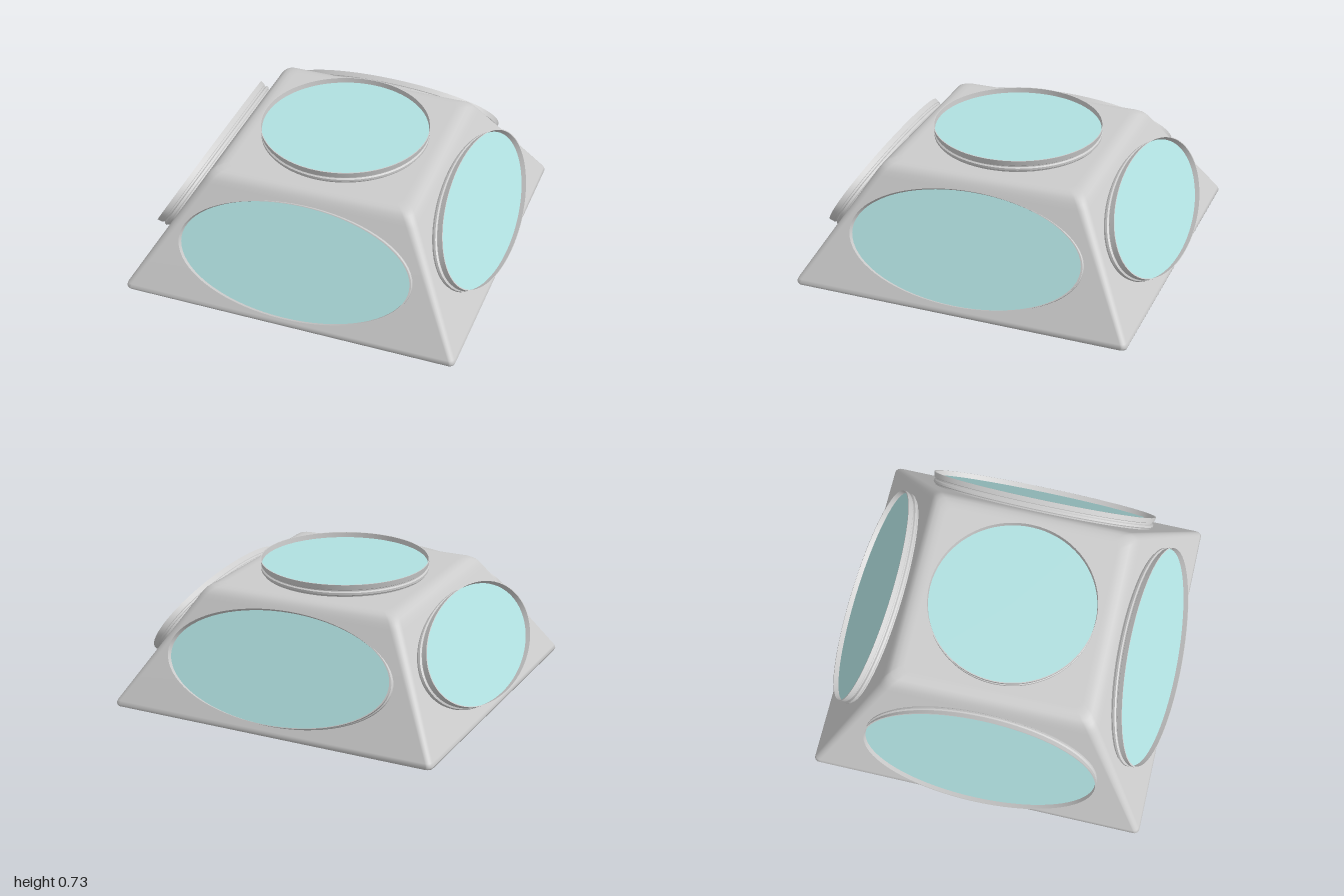
import * as THREE from 'three';
import { toCreasedNormals } from 'three/addons/utils/BufferGeometryUtils.js';

const grey = new THREE.MeshStandardMaterial({ color: 0xcccccc });
const rimGrey = new THREE.MeshStandardMaterial({ color: 0xcccccc, side: THREE.DoubleSide });
const glassBlue = new THREE.MeshStandardMaterial({ color: 0xb0e0e0, side: THREE.DoubleSide });

// Truncated pyramid lofted through rounded squares: [half width, height, corner radius]
function bodyGeometry() {
  const rings = [
    [0, 0, 0], [0.9, 0, 0.03], [0.93, 0.002, 0.03], [0.949, 0.01, 0.03], [0.954, 0.024, 0.03],
    [0.947, 0.043, 0.03], [0.615, 0.592, 0.05], [0.6, 0.615, 0.05], [0.583, 0.637, 0.05],
    [0.56, 0.652, 0.05], [0.53, 0.659, 0.045], [0.5, 0.66, 0.04], [0, 0.66, 0],
  ];
  const steps = 6, count = 4 * (steps + 1);
  const positions = [], index = [];
  rings.forEach(([half, y, radius], row) => {
    for (let corner = 0; corner < 4; corner++) {
      const mid = (corner + 0.5) * Math.PI / 2;
      const cx = Math.sign(Math.cos(mid)) * (half - radius);
      const cz = Math.sign(Math.sin(mid)) * (half - radius);
      for (let s = 0; s <= steps; s++) {
        const a = (corner + s / steps) * Math.PI / 2;
        positions.push(cx + radius * Math.cos(a), y, cz + radius * Math.sin(a));
      }
    }
    if (row === 0) return;
    for (let i = 0; i < count; i++) {
      const j = (i + 1) % count, low = (row - 1) * count, high = row * count;
      index.push(low + i, high + i, low + j, low + j, high + i, high + j);
    }
  });
  const geometry = new THREE.BufferGeometry();
  geometry.setAttribute('position', new THREE.Float32BufferAttribute(positions, 3));
  geometry.setIndex(index);
  geometry.computeVertexNormals();
  return geometry;
}

// Oval porthole facing +y: grooved thin rim with recessed glass
function porthole(name, radiusX, radiusZ) {
  const profile = [
    [0.965, -0.01], [0.975, 0.006], [0.99, 0.012], [0.99, 0.024], [0.972, 0.03],
    [0.972, 0.036], [0.99, 0.042], [1, 0.071], [0.988, 0.071], [0.98, 0.035],
  ].map(([r, y]) => new THREE.Vector2(r, y));
  const rimGeometry = new THREE.LatheGeometry(profile, 72).scale(radiusX, 1, radiusZ);
  const rim = new THREE.Mesh(toCreasedNormals(rimGeometry, 0.45), rimGrey);
  rim.name = 'windowRim';

  const glassGeometry = new THREE.CircleGeometry(0.985, 72).rotateX(-Math.PI / 2);
  const glass = new THREE.Mesh(glassGeometry.scale(radiusX, 1, radiusZ), glassBlue);
  glass.name = 'windowGlass';
  glass.position.y = 0.042;

  const group = new THREE.Group();
  group.name = name;
  group.add(rim, glass);
  return group;
}

export function createModel() {
  const model = new THREE.Group();
  model.name = 'windowedDome';

  const body = new THREE.Mesh(bodyGeometry(), grey);
  body.name = 'body';
  model.add(body);

  // Round skylight on the roof
  const skylight = porthole('topWindow', 0.477, 0.477);
  skylight.position.y = 0.66;
  model.add(skylight);

  // One oval window on each sloping side
  ['frontWindow', 'leftWindow', 'backWindow', 'rightWindow'].forEach((name, i) => {
    const window = porthole(name, 0.668, 0.311);
    window.position.set(0, 0.329, 0.776);
    window.rotation.x = 1.027;
    const side = new THREE.Group();
    side.name = name + 'Side';
    side.rotation.y = i * Math.PI / 2;
    side.add(window);
    model.add(side);
  });

  return model;
}
